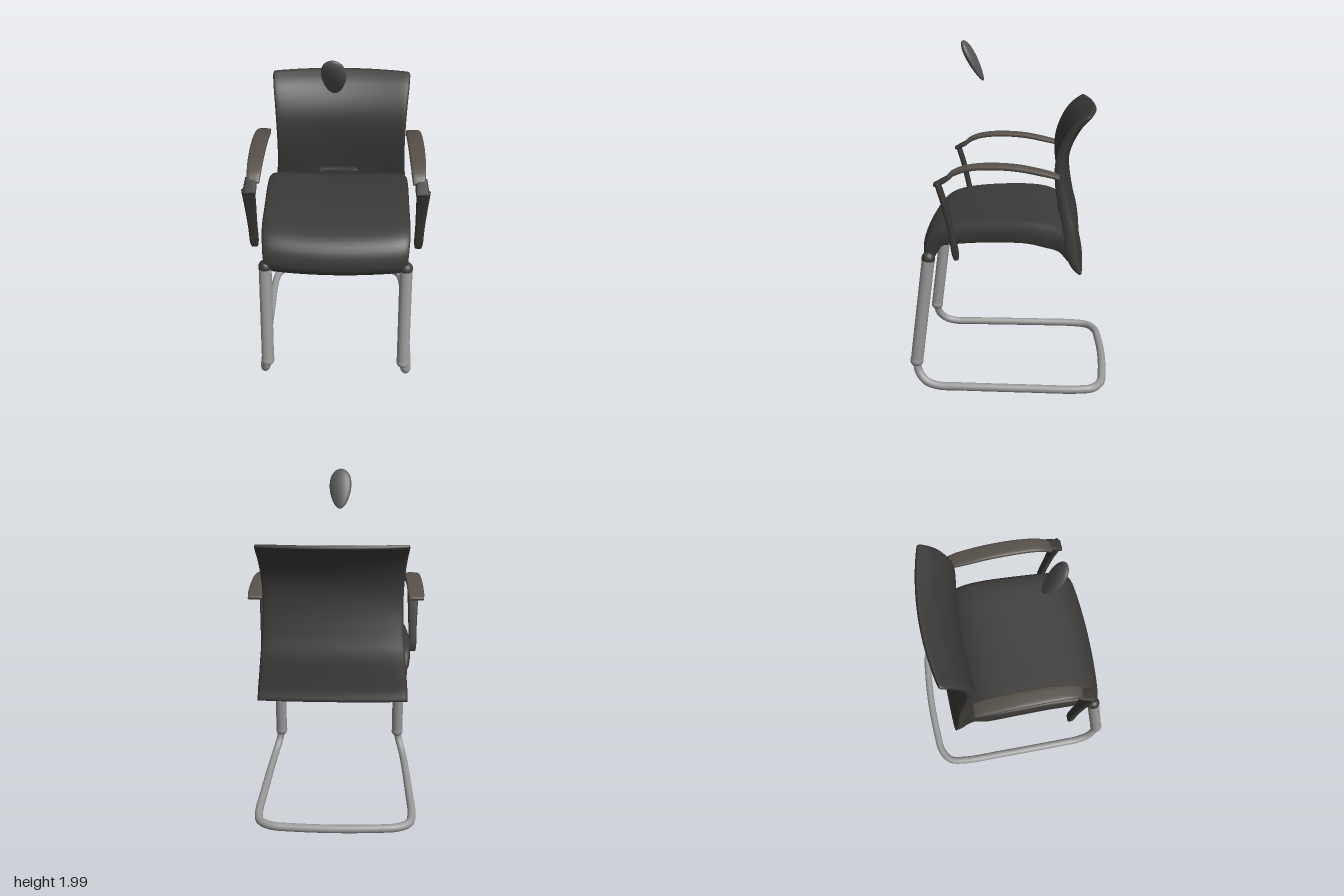
import * as THREE from 'three';

const mat = (color) => new THREE.MeshStandardMaterial({ color });
const fabric = mat(0x3b3a38), plastic = mat(0x383735), padMat = mat(0x57504a);
const steel = mat(0x9a9a9a), pebbleMat = mat(0x555555);

function add(parent, name, geometry, material) {
  const mesh = new THREE.Mesh(geometry, material);
  mesh.name = name;
  parent.add(mesh);
  return mesh;
}

// Sweeps a rounded slab section along a path in the side plane.
// Each station: [z, y, halfWidth, halfThickness, bow in z at mid width]
// sag lowers the middle of the width
function slab(stations, { cx = 0, steps = 40, sides = 48, power = 8, sag = 0 } = {}) {
  const path = new THREE.CatmullRomCurve3(
    stations.map(([z, y]) => new THREE.Vector3(0, y, z)), false, 'catmullrom');
  const size = new THREE.CatmullRomCurve3(
    stations.map(([, , w, t, b = 0]) => new THREE.Vector3(w, t, b)), false, 'catmullrom');
  const pos = [], index = [];
  const rows = steps + 3; // the first and last rows close the ends
  for (let r = 0; r < rows; r++) {
    const k = THREE.MathUtils.clamp((r - 1) / steps, 0, 1);
    const p = path.getPoint(k), s = size.getPoint(k);
    const d = path.getPoint(Math.min(k + 0.001, 1)).sub(path.getPoint(Math.max(k - 0.001, 0))).normalize();
    const thick = r === 0 || r === rows - 1 ? 0 : s.y;
    for (let j = 0; j < sides; j++) {
      const a = (j / sides) * Math.PI * 2, u = Math.cos(a), mid = 1 - u * u;
      const rise = Math.pow(Math.max(0, 1 - Math.pow(Math.abs(u), power)), 1 / power);
      const v = (j % (sides / 2) === 0 ? 0 : Math.sign(Math.sin(a))) * rise * thick;
      pos.push(cx + u * s.x, p.y - v * d.z - sag * mid, p.z + v * d.y + s.z * mid);
      if (r < rows - 1) {
        const q = r * sides + j, n = r * sides + ((j + 1) % sides);
        index.push(q, q + sides, n, n, q + sides, n + sides);
      }
    }
  }
  const g = new THREE.BufferGeometry();
  g.setAttribute('position', new THREE.Float32BufferAttribute(pos, 3));
  g.setIndex(index);
  g.computeVertexNormals();
  return g;
}

export function createModel() {
  const chair = new THREE.Group();
  chair.name = 'cantileverChair';

  // Seat cushion, from the front lip over the top, turning down into the skirt
  add(chair, 'seat', slab([
    [0.452, 0.795, 0.405, 0.018, 0.02], [0.448, 0.86, 0.413, 0.044, 0.027],
    [0.41, 0.934, 0.42, 0.056, 0.026], [0.32, 0.966, 0.428, 0.066, 0.012],
    [0.15, 0.984, 0.43, 0.071], [-0.08, 0.987, 0.435, 0.073],
    [-0.22, 0.96, 0.43, 0.076], [-0.3, 0.905, 0.41, 0.056], [-0.34, 0.82, 0.405, 0.02],
  ], { steps: 48, sag: 0.012 }), fabric);

  // Curved back with its skirt below the seat
  const back = add(chair, 'backrest', slab([
    [-0.395, 0.75, 0.425, 0.01, -0.015], [-0.36, 0.81, 0.425, 0.03, -0.015],
    [-0.34, 0.9, 0.418, 0.04, -0.015], [-0.327, 1.0, 0.41, 0.038, -0.02],
    [-0.3, 1.11, 0.401, 0.034, -0.025], [-0.273, 1.25, 0.397, 0.032, -0.03],
    [-0.27, 1.37, 0.398, 0.031, -0.03], [-0.295, 1.47, 0.403, 0.029, -0.035],
    [-0.345, 1.565, 0.412, 0.025, -0.045], [-0.405, 1.623, 0.418, 0.016, -0.05],
    [-0.425, 1.637, 0.413, 0.009, -0.05],
  ], { steps: 50 }), fabric);
  back.position.x = 0.015;

  // Small slot trim where the back meets the seat
  add(chair, 'seatTrim', slab([[-0.268, 1.03, 0.12, 0.008], [-0.31, 1.035, 0.12, 0.008]],
    { steps: 4 }), plastic);

  for (const side of [1, -1]) {
    // Thick front leg, rounded at the foot and socketed in the seat corner
    const top = new THREE.Vector3(side * 0.402, 0.82, 0.463);
    const foot = new THREE.Vector3(side * 0.408, 0.18, 0.55);
    add(chair, 'frontLeg', new THREE.TubeGeometry(new THREE.LineCurve3(foot, top), 1, 0.037, 24), steel);
    const ball = new THREE.SphereGeometry(0.039, 24, 16);
    add(chair, 'legJoint', ball, steel).position.copy(foot);
    add(chair, 'legSocket', ball, fabric).position.copy(top);

    // Arched arm pad
    add(chair, 'armPad', slab([
      [0.34, 1.3, 0.033, 0.01], [0.3, 1.335, 0.039, 0.014],
      [0.22, 1.362, 0.043, 0.014], [0.1, 1.372, 0.046, 0.014], [-0.05, 1.364, 0.047, 0.014],
      [-0.2, 1.335, 0.046, 0.013], [-0.27, 1.315, 0.04, 0.009],
    ], { cx: side * 0.456, sides: 32, power: 4 }), padMat);

    // Bracket joining pad and upright
    add(chair, 'armBracket', slab([
      [0.405, 1.272, 0.036, 0.009], [0.36, 1.292, 0.036, 0.013], [0.315, 1.32, 0.03, 0.01],
    ], { cx: side * 0.472, steps: 10, sides: 24, power: 4 }), plastic);

    // Tapered upright
    add(chair, 'armUpright', slab([
      [0.293, 0.845, 0.02, 0.012], [0.3, 0.89, 0.026, 0.019], [0.318, 1.0, 0.027, 0.016],
      [0.352, 1.16, 0.033, 0.015], [0.378, 1.25, 0.037, 0.014], [0.388, 1.285, 0.038, 0.012],
    ], { cx: side * 0.479, steps: 20, sides: 24, power: 4 }), plastic);
  }

  // Floor frame: one bent tube running round the back
  const half = [
    [0.408, 0.18, 0.55], [0.42, 0.115, 0.54], [0.438, 0.06, 0.495], [0.447, 0.036, 0.42],
    [0.45, 0.035, 0.3], [0.454, 0.035, -0.1], [0.452, 0.035, -0.39],
    [0.43, 0.035, -0.485], [0.36, 0.035, -0.535], [0.24, 0.035, -0.551],
  ];
  const loop = [...half, [0, 0.035, -0.561], ...half.map(([x, y, z]) => [-x, y, z]).reverse()];
  add(chair, 'floorFrame', new THREE.TubeGeometry(
    new THREE.CatmullRomCurve3(loop.map((p) => new THREE.Vector3(...p))), 160, 0.024, 16), steel);

  // Floating egg-shaped pebble, wider and thicker at the top
  const egg = new THREE.SphereGeometry(1, 32, 24);
  const p = egg.attributes.position;
  for (let i = 0; i < p.count; i++) {
    const y = p.getY(i), wide = 1 + 0.2 * y, thick = 1 + 0.3 * y;
    p.setXYZ(i, p.getX(i) * wide * 0.066, y * 0.128, p.getZ(i) * thick * 0.025);
  }
  egg.computeVertexNormals();
  const pebble = add(chair, 'floatingPebble', egg, pebbleMat);
  pebble.position.set(-0.014, 1.885, 0.235);
  pebble.rotation.set(0.48, -0.15, 0);

  return chair;
}
